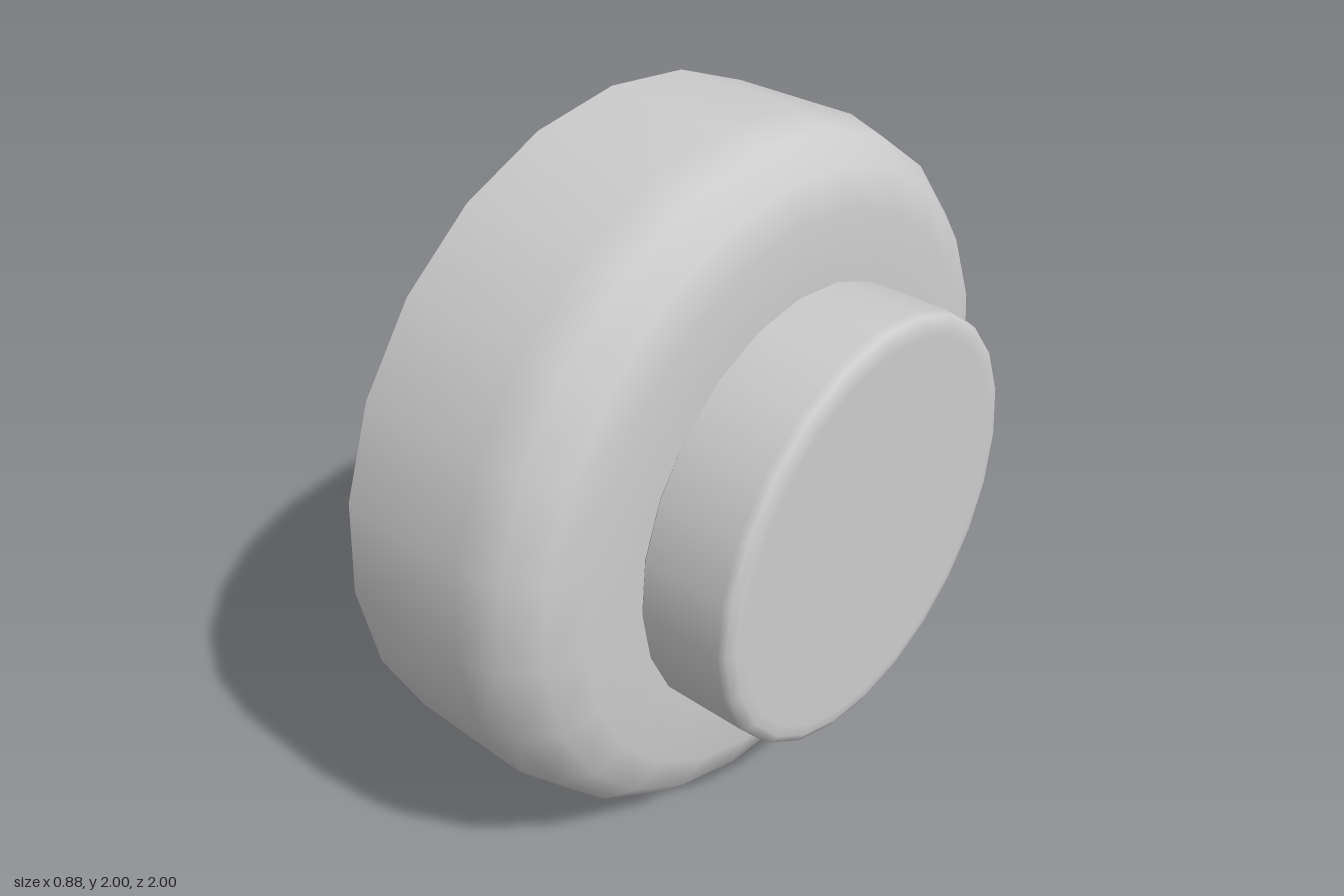
import * as THREE from 'three';

const SIDES = 24;

// Lathe a [radius, x] profile around the x axis
function turned(name, profile) {
  const points = profile.map(([r, x]) => new THREE.Vector2(r, x));
  const geometry = new THREE.LatheGeometry(points, SIDES);
  geometry.rotateZ(-Math.PI / 2);
  const material = new THREE.MeshStandardMaterial({ color: 0xcccccc, side: THREE.DoubleSide });
  const mesh = new THREE.Mesh(geometry, material);
  mesh.name = name;
  return mesh;
}

export function createModel() {
  const group = new THREE.Group();
  group.name = 'roundKnob';

  // Thin hollow housing, open at the back, with a rounded shoulder and a hole in its face
  const housing = turned('housing', [
    [1, -0.44], [1, -0.06], [0.97, 0.05], [0.9, 0.13], [0.8, 0.163], [0.605, 0.163],
  ]);
  housing.position.y = 1;

  // Hollow cap over the hole, closed at the front and very slightly tilted
  const cap = turned('cap', [
    [0.61, 0], [0.61, 0.235], [0.603, 0.258], [0.58, 0.269], [0.55, 0.27], [0, 0.27],
  ]);
  cap.position.set(0.162, 1, 0);
  cap.rotation.y = 0.01;

  group.add(housing, cap);
  return group;
}
